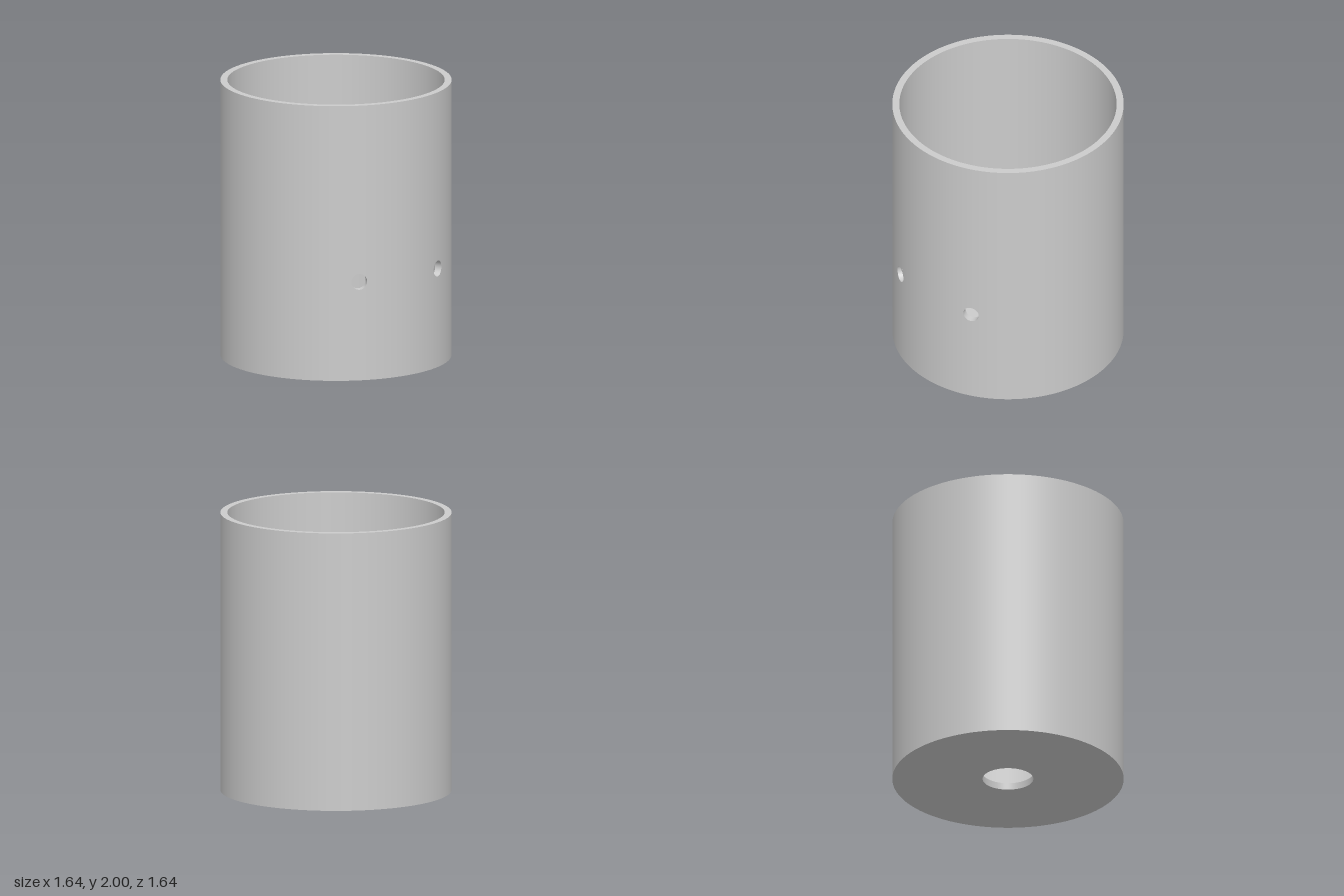
import * as THREE from 'three';
import { ParametricGeometry } from 'three/addons/geometries/ParametricGeometry.js';

const R = 0.82, RI = 0.77, H = 2, FLOOR = 0.05, DRAIN = 0.18;
const HOLE_R = 0.0575, HOLE_Y = 0.717;
const STEP = THREE.MathUtils.degToRad(2.5);
const HOLE_ANGLE = 10 * STEP; // side holes sit 25 degrees either side of the front
const HALF_W = 2 * STEP, HALF_H = 0.075; // curved panel around each side hole

export function createModel() {
  const model = new THREE.Group();
  const material = new THREE.MeshStandardMaterial({ color: 0xcccccc, side: THREE.DoubleSide });

  const add = (name, geometry, parent) => {
    const mesh = new THREE.Mesh(geometry, material);
    mesh.name = name;
    parent.add(mesh);
  };
  const group = (name) => {
    const g = new THREE.Group();
    g.name = name;
    model.add(g);
    return g;
  };
  // Surface swept by one straight profile edge between two angles (0 = front)
  const sweep = (r0, y0, r1, y1, from = 0, to = Math.PI * 2) =>
    new THREE.LatheGeometry([new THREE.Vector2(r0, y0), new THREE.Vector2(r1, y1)],
      Math.round((to - from) / STEP), from, to - from);
  const onCylinder = (r, angle, y, target) =>
    target.set(r * Math.sin(angle), y, r * Math.cos(angle));

  // Floor with central drain hole, and top rim
  const base = group('base');
  add('baseUnderside', sweep(DRAIN, 0, R, 0), base);
  add('baseFloor', sweep(RI, FLOOR, DRAIN, FLOOR), base);
  add('drainHole', sweep(DRAIN, FLOOR, DRAIN, 0), base);
  add('rim', sweep(R, H, RI, H), model);

  // Curved panel from the round hole out to a rectangle
  const panel = (r, centre, dir) => new ParametricGeometry((u, v, target) => {
    const a = -dir * u * Math.PI * 2, c = Math.cos(a), s = Math.sin(a);
    const m = Math.max(Math.abs(c), Math.abs(s));
    const angle = THREE.MathUtils.lerp(Math.asin(HOLE_R * c / r), HALF_W * c / m, v);
    const y = THREE.MathUtils.lerp(HOLE_R * s, HALF_H * s / m, v);
    onCylinder(r, centre + angle, HOLE_Y + y, target);
  }, 48, 3);

  // Straight bore through the wall
  const bore = (centre) => new ParametricGeometry((u, v, target) => {
    const a = -u * Math.PI * 2, r = THREE.MathUtils.lerp(RI, R, v);
    onCylinder(r, centre + Math.asin(HOLE_R * Math.cos(a) / r), HOLE_Y + HOLE_R * Math.sin(a), target);
  }, 48, 1);

  // Outer and inner wall: plain arcs between the hole columns, panels within them
  for (const [name, r, bottom, dir] of [['outerWall', R, 0, 1], ['innerWall', RI, FLOOR, -1]]) {
    const wall = group(name);
    const strip = (y0, y1, from, to) =>
      add(name + 'Strip', dir > 0 ? sweep(r, y0, r, y1, from, to) : sweep(r, y1, r, y0, from, to), wall);
    strip(bottom, H, -HOLE_ANGLE + HALF_W, HOLE_ANGLE - HALF_W);
    strip(bottom, H, HOLE_ANGLE + HALF_W, Math.PI * 2 - HOLE_ANGLE - HALF_W);
    for (const centre of [-HOLE_ANGLE, HOLE_ANGLE]) {
      strip(bottom, HOLE_Y - HALF_H, centre - HALF_W, centre + HALF_W);
      strip(HOLE_Y + HALF_H, H, centre - HALF_W, centre + HALF_W);
      add(name + 'HolePanel', panel(r, centre, dir), wall);
    }
  }

  add('rightHole', bore(-HOLE_ANGLE), model);
  add('leftHole', bore(HOLE_ANGLE), model);
  return model;
}
